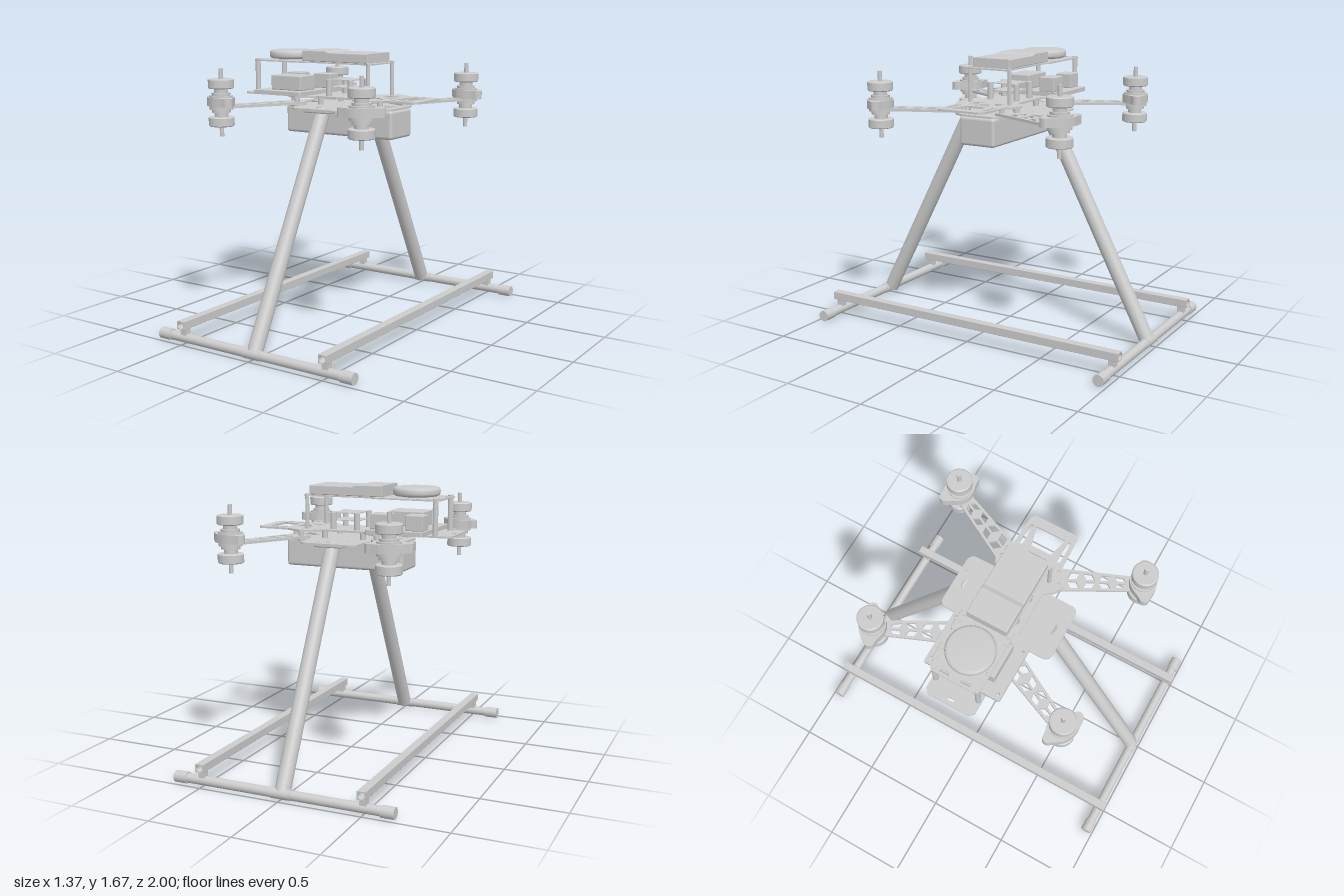
import * as THREE from 'three';
import { RoundedBoxGeometry } from 'three/addons/geometries/RoundedBoxGeometry.js';

const grey = new THREE.MeshStandardMaterial({ color: 0xcccccc });
const V = (x, y, z) => new THREE.Vector3(x, y, z);

function add(parent, name, geo, x = 0, y = 0, z = 0) {
  const m = new THREE.Mesh(geo, grey);
  m.name = name;
  m.position.set(x, y, z);
  parent.add(m);
  return m;
}
// Box given by its limits on each axis
function box(parent, name, [x0, x1], [y0, y1], [z0, z1], r = 0) {
  const s = [x1 - x0, y1 - y0, z1 - z0];
  const geo = r ? new RoundedBoxGeometry(...s, 3, r) : new THREE.BoxGeometry(...s);
  return add(parent, name, geo, (x0 + x1) / 2, (y0 + y1) / 2, (z0 + z1) / 2);
}
// Cylinder between two points
function rod(parent, name, a, b, r, seg = 32) {
  const d = b.clone().sub(a);
  const m = add(parent, name, new THREE.CylinderGeometry(r, r, d.length(), seg));
  m.position.copy(a).addScaledVector(d, 0.5);
  m.quaternion.setFromUnitVectors(V(0, 1, 0), d.normalize());
  return m;
}
const post = (p, name, x, z, y0, y1, r, seg = 20) => rod(p, name, V(x, y0, z), V(x, y1, z), r, seg);

// Plan outlines: points are (x, z)
const poly = (pts) => new THREE.Shape(pts.map(([x, z]) => new THREE.Vector2(x, z)));
function roundRect(x0, x1, z0, z1, r) {
  const s = new THREE.Shape();
  s.absarc(x1 - r, z1 - r, r, 0, Math.PI / 2);
  s.absarc(x0 + r, z1 - r, r, Math.PI / 2, Math.PI);
  s.absarc(x0 + r, z0 + r, r, Math.PI, Math.PI * 1.5);
  s.absarc(x1 - r, z0 + r, r, Math.PI * 1.5, Math.PI * 2);
  s.closePath();
  return s;
}
const dot = (x, z, r = 0.009) => new THREE.Shape().absarc(x, z, r, 0, Math.PI * 2);
// Flat sheet lying level between y0 and y1
function plate(parent, name, shape, holes, y0, y1) {
  shape.holes.push(...holes);
  const geo = new THREE.ExtrudeGeometry(shape, { depth: y1 - y0, bevelEnabled: false, curveSegments: 10 });
  geo.rotateX(Math.PI / 2);
  return add(parent, name, geo, 0, y1, 0);
}
// Mirror a half outline (z > 0, ordered by falling x) across z = 0
const mirrorZ = (half) => [...half, ...half.map(([x, z]) => [x, -z]).reverse()];

function landingGear() {
  const g = new THREE.Group();
  g.name = 'landingGear';
  for (const s of [-1, 1]) {
    const z = 0.957 * s;
    rod(g, 'footTube', V(-0.66, 0.036, z), V(0.66, 0.036, z), 0.028);
    rod(g, 'footSleeve', V(-0.06, 0.036, z), V(0.06, 0.036, z), 0.031);
    rod(g, 'leg', V(0, 0.04, 0.94 * s), V(0, 1.335, 0.263 * s), 0.045, 40);
    box(g, 'legFlange', [-0.09, 0.09], [1.322, 1.343], s > 0 ? [0.17, 0.345] : [-0.345, -0.17], 0.008);
    for (const t of [-1, 1]) {
      rod(g, 'footCap', V(0.6 * t, 0.036, z), V(0.68 * t, 0.036, z), 0.034);
      box(g, 'railBracket', [0.5 * t - 0.02, 0.5 * t + 0.02], [0.045, 0.1], [z - 0.02, z + 0.02]);
    }
    // Square rail with a round bore
    const rail = roundRect(-0.025, 0.025, -0.025, 0.025, 0.003);
    rail.holes.push(dot(0, 0, 0.021));
    add(g, 'rail', new THREE.ExtrudeGeometry(rail, { depth: 2, bevelEnabled: false }), 0.5 * s, 0.12, -1);
  }
  return g;
}

// Motor pod with its axis on the local origin; the mount is widest across the arm
function motorPod() {
  const g = new THREE.Group();
  g.name = 'motorPod';
  post(g, 'motorShaft', 0, 0, 1.18, 1.58, 0.013);
  const mount = new THREE.Shape();
  mount.moveTo(-0.078, 0);
  mount.bezierCurveTo(-0.075, 0.06, -0.03, 0.085, -0.02, 0.115);
  mount.bezierCurveTo(-0.01, 0.14, 0.03, 0.135, 0.035, 0.115);
  mount.bezierCurveTo(0.05, 0.08, 0.078, 0.06, 0.078, 0);
  mount.bezierCurveTo(0.078, -0.06, 0.05, -0.08, 0.035, -0.115);
  mount.bezierCurveTo(0.03, -0.135, -0.01, -0.14, -0.02, -0.115);
  mount.bezierCurveTo(-0.03, -0.085, -0.075, -0.06, -0.078, 0);
  plate(g, 'motorMount', mount, [], 1.362, 1.413);
  post(g, 'mountCore', 0, 0, 1.342, 1.422, 0.07, 32);
  for (const s of [-1, 1]) {
    const y = (d) => 1.381 + s * d;
    post(g, 'motorNeck', 0, 0, y(0.03), y(0.058), 0.055, 32);
    post(g, 'motorStem', 0, 0, y(0.03), y(0.09), 0.04, 32);
    const bell = [[0, 0], [0.07, 0], [0.076, 0.005], [0.076, 0.051], [0.07, 0.056], [0, 0.056]];
    const prof = bell.map(([r, h]) => new THREE.Vector2(r, h - 0.028));
    const geo = new THREE.LatheGeometry(prof, 36).toNonIndexed();
    geo.computeVertexNormals();
    add(g, 'motorBell', geo, 0, y(0.111), 0);
  }
  return g;
}

// Tapered truss arm running along local +x from its root to the pod
function arm(len) {
  const g = new THREE.Group();
  g.name = 'arm';
  const half = (x) => 0.072 - 0.03 * x / len;
  const holes = [];
  for (let i = 0; i < 4; i++) {
    const a = 0.1 + i * 0.09, b = a + 0.07, w = 0.016;
    for (const s of [-1, 1]) {
      const o = (x) => s * (half(x) - w);
      // Alternate slanted windows either side of a centre rib
      const k = i % 2 ? 0.02 : 0;
      holes.push(poly([[a + k, s * 0.007], [a + 0.02 - k, o(a)], [b - k, o(b)], [b - 0.02 + k, s * 0.007]]));
    }
  }
  plate(g, 'armPlate', poly(mirrorZ([[len, half(len)], [0, half(0)]])), holes, 1.347, 1.363);
  const pod = motorPod();
  pod.position.x = len;
  g.add(pod);
  return g;
}

function frame() {
  const g = new THREE.Group();
  g.name = 'frame';
  // Lower hub plate and clamp plate
  const corners = [-1, 1].flatMap((s) => [-1, 1].map((t) => [s, t]));
  plate(g, 'hubPlate', roundRect(-0.18, 0.18, -0.357, 0.357, 0.045),
    corners.flatMap(([s, t]) => [dot(0.07 * s, 0.325 * t), dot(0.07 * s, 0.195 * t)]), 1.337, 1.347);
  plate(g, 'clampPlate', poly(mirrorZ([[0.38, 0.1], [0.35, 0.165], [0.24, 0.22], [0.14, 0.14],
    [-0.14, 0.14], [-0.24, 0.22], [-0.35, 0.165], [-0.38, 0.1]])),
    [-1, 1].map((s) => poly([[0.2 * s, 0], [0.32 * s, 0.07], [0.32 * s, -0.07]])), 1.336, 1.347);

  // Main plate with slots and windows
  const holes = [poly([[0.38, 0.065], [0.5, 0.095], [0.5, -0.095], [0.38, -0.065]]),
    poly([[0.25, 0], [0.34, 0.06], [0.34, -0.06]]), roundRect(-0.66, -0.645, -0.02, 0.02, 0.007)];
  for (const s of [-1, 1]) {
    holes.push(roundRect(0.36, 0.5, 0.123 * s - 0.01, 0.123 * s + 0.01, 0.009));
    holes.push(poly([[0.23, 0.03 * s], [0.31, 0.09 * s], [0.23, 0.1 * s]]));
    holes.push(dot(0.24, 0.19 * s), dot(0.31, 0.155 * s));
  }
  plate(g, 'mainPlate', poly(mirrorZ([[0.56, 0.13], [0.54, 0.152], [0.35, 0.16], [0.24, 0.222], [0.18, 0.19],
    [0.14, 0.14], [-0.14, 0.14], [-0.18, 0.19], [-0.24, 0.222], [-0.35, 0.155], [-0.66, 0.155], [-0.685, 0.13]])),
    holes, 1.389, 1.4);

  // Spacers and bolt heads joining the plates
  for (const [s, t] of corners) {
    for (const [x, z] of [[0.31, 0.13], [0.245, 0.19], [0.125, 0.11]]) {
      post(g, 'spacer', x * s, z * t, 1.345, 1.39, 0.017);
      post(g, 'boltHead', x * s, z * t, 1.325, 1.337, 0.014, 6);
    }
  }
  // Four arms
  for (const [s, t] of corners) {
    const dx = 0.23 * s, dz = 0.48 * t;
    const a = arm(Math.hypot(dx, dz));
    a.position.set(0.26 * s, 0, 0.125 * t);
    a.rotation.y = Math.atan2(-dz, dx);
    g.add(a);
  }
  return g;
}

function electronics() {
  const g = new THREE.Group();
  g.name = 'electronics';
  box(g, 'battery', [-0.38, 0.38], [1.165, 1.336], [-0.118, 0.118], 0.018);
  // Tray with its modules
  plate(g, 'tray', roundRect(-0.54, -0.19, -0.24, 0.24, 0.012),
    [-0.505, -0.225].flatMap((x) => [dot(x, 0.215), dot(x, -0.215)]), 1.4, 1.425);
  box(g, 'frontModule', [-0.46, -0.24], [1.425, 1.515], [0.01, 0.165], 0.006);
  box(g, 'rearModule', [-0.53, -0.42], [1.425, 1.515], [-0.19, -0.09], 0.005);
  box(g, 'rearModule', [-0.32, -0.2], [1.425, 1.515], [-0.19, -0.09], 0.005);
  // Open stack in the middle
  for (const x of [-0.078, 0.078]) for (const z of [-0.09, 0.09]) post(g, 'stackPost', x, z, 1.4, 1.5, 0.018);
  for (const y of [1.45, 1.495]) box(g, 'stackBoard', [-0.08, 0.08], [y, y + 0.005], [-0.08, 0.08]);

  // Upper deck on standoffs
  const holes = [];
  for (const s of [-1, 1]) {
    holes.push(roundRect(-0.6, -0.575, 0.065 * s - 0.03, 0.065 * s + 0.03, 0.01));
    for (const x of [-0.54, -0.48, -0.3, -0.26]) holes.push(dot(x, 0.138 * s));
    for (const x of [-0.585, 0.23]) post(g, 'standoff', x, 0.135 * s, 1.4, 1.61, x < 0 ? 0.016 : 0.012);
  }
  plate(g, 'upperDeck', poly(mirrorZ([[0.245, 0.14], [0.235, 0.15], [0.2, 0.13], [-0.18, 0.13], [-0.21, 0.155],
    [-0.59, 0.155], [-0.61, 0.135]])), holes, 1.596, 1.604);

  // Round antenna puck
  post(g, 'puckBase', -0.42, 0, 1.604, 1.618, 0.08, 32);
  const prof = [[0, 0], [0.125, 0], [0.136, 0.006], [0.14, 0.016], [0.14, 0.034], [0.135, 0.046], [0.122, 0.052], [0, 0.054]];
  add(g, 'antennaPuck', new THREE.LatheGeometry(prof.map(([r, h]) => new THREE.Vector2(r, h)), 48), -0.42, 1.612, 0);

  // Stepped housing on the deck
  const side = poly([[-0.245, 1.61], [0.215, 1.61], [0.215, 1.656], [-0.06, 1.656], [-0.085, 1.666], [-0.245, 1.666]]);
  const geo = new THREE.ExtrudeGeometry(side, { depth: 0.24, bevelSize: 0.005, bevelThickness: 0.005, bevelSegments: 2 });
  add(g, 'receiverHousing', geo, 0, 0, -0.12);
  return g;
}

export function createModel() {
  const model = new THREE.Group();
  model.name = 'quadcopter';
  model.add(landingGear(), frame(), electronics());
  return model;
}
